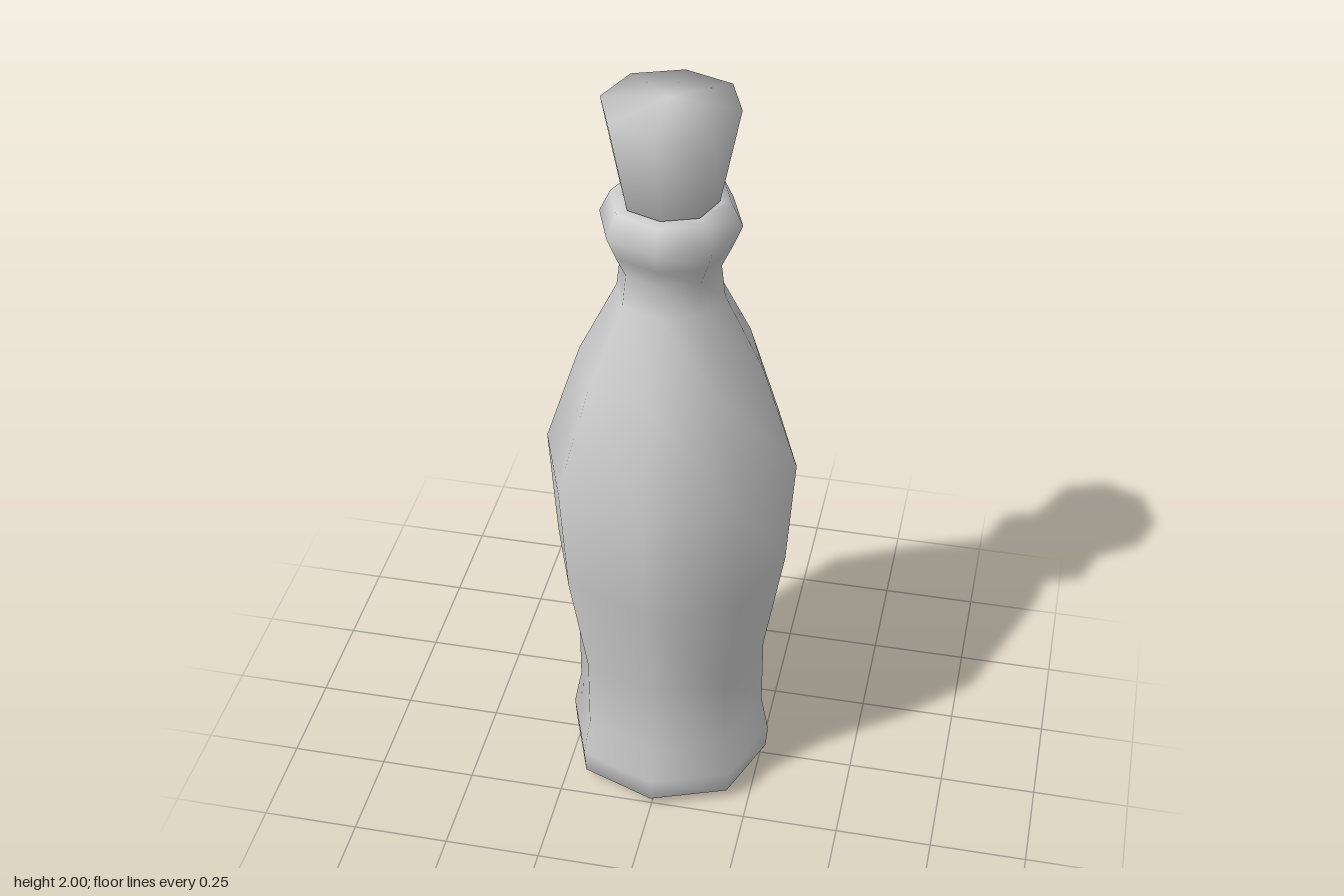
import * as THREE from 'three';
import { mergeVertices } from 'three/addons/utils/BufferGeometryUtils.js';

const material = new THREE.MeshStandardMaterial({ color: 0xcccccc });

// Smooth eight-sided turned part; its diagonal corners sit slightly further out
function turnedPart(name, profile) {
  const points = profile.map(([r, y]) => new THREE.Vector2(r, y));
  let geometry = new THREE.LatheGeometry(points, 8);
  const position = geometry.attributes.position;
  for (let i = 0; i < position.count; i++) {
    const segment = Math.floor(i / points.length);
    const scale = segment % 2 ? 1.03 : 1;
    position.setX(i, position.getX(i) * scale);
    position.setZ(i, position.getZ(i) * scale);
  }
  geometry.deleteAttribute('uv');
  geometry.deleteAttribute('normal');
  geometry = mergeVertices(geometry);
  geometry.computeVertexNormals();
  const mesh = new THREE.Mesh(geometry, material);
  mesh.name = name;
  return mesh;
}

export function createModel() {
  const group = new THREE.Group();
  group.name = 'bottle';

  // Body: foot, waist, belly, shoulder, neck and rolled lip
  group.add(turnedPart('bottleBody', [
    [0, 0], [0.225, 0.005], [0.265, 0.03], [0.27, 0.095],
    [0.25, 0.2], [0.25, 0.4], [0.3, 0.7], [0.32, 1.0],
    [0.23, 1.28], [0.133, 1.48], [0.123, 1.565],
    [0.148, 1.62], [0.172, 1.68], [0.145, 1.737], [0.11, 1.737],
  ]));

  // Tapered stopper with a slightly domed top
  group.add(turnedPart('stopper', [
    [0, 1.735], [0.117, 1.74], [0.165, 1.982], [0, 2.0],
  ]));

  return group;
}
